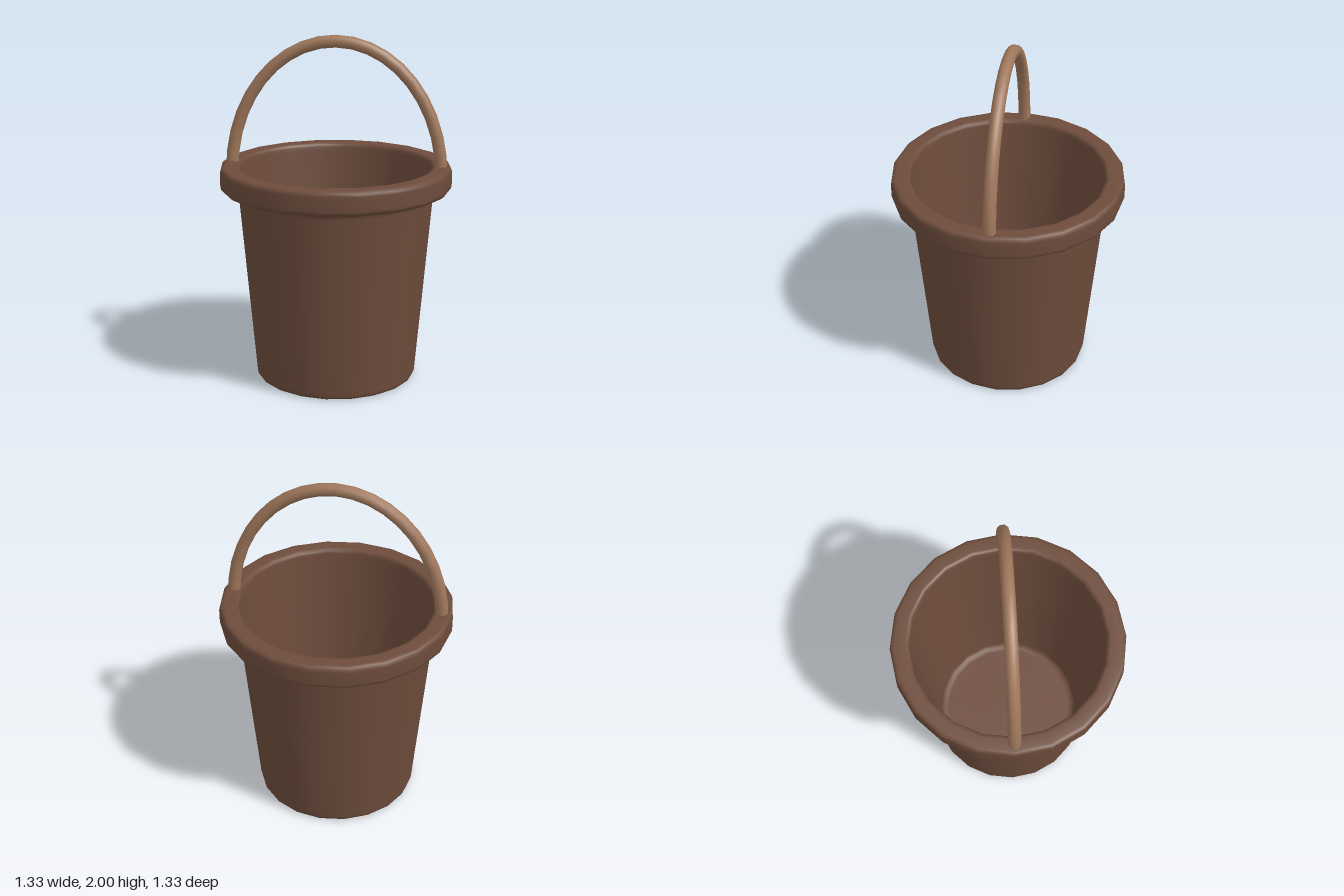
import * as THREE from 'three';

const SIDES = 20;

function lathe(name, profile, material) {
  const points = profile.map(([r, y]) => new THREE.Vector2(r, y));
  const mesh = new THREE.Mesh(new THREE.LatheGeometry(points, SIDES), material);
  mesh.name = name;
  return mesh;
}

// Half-ellipse arch, centred on the rim.
class ArchCurve extends THREE.Curve {
  constructor(width, height, base) {
    super();
    Object.assign(this, { width, height, base });
  }
  getPoint(t, target = new THREE.Vector3()) {
    const a = Math.PI * t;
    return target.set(-Math.cos(a) * this.width, this.base + Math.sin(a) * this.height, 0);
  }
  getPointAt(t, target) { return this.getPoint(t, target); }
  getTangentAt(t, target) { return this.getTangent(t, target); }
}

export function createModel() {
  const model = new THREE.Group();
  model.name = 'bucket';
  const darkBrown = new THREE.MeshStandardMaterial({ color: 0x6d4c3c });
  const lightBrown = new THREE.MeshStandardMaterial({ color: 0xa0785c });

  // Shell: underside, outer wall, overhanging rim, inner wall and floor in one profile.
  model.add(lathe('bucketShell', [
    [0, 0], [0.44, 0], [0.452, 0.001], [0.464, 0.008], [0.468, 0.022], [0.47, 0.04],
    [0.559, 1.08], [0.562, 1.1], [0.572, 1.112], [0.59, 1.118],
    [0.625, 1.12], [0.645, 1.126], [0.66, 1.138], [0.665, 1.155],
    [0.665, 1.235], [0.662, 1.25], [0.654, 1.26], [0.638, 1.265],
    [0.58, 1.265], [0.567, 1.262], [0.558, 1.254], [0.554, 1.24], [0.552, 1.22],
    [0.432, 0.1], [0.428, 0.082], [0.42, 0.069], [0.405, 0.062], [0.385, 0.06], [0, 0.06],
  ], darkBrown));

  // Handle, with its ends sunk into the rim.
  const arch = new ArchCurve(0.605, 0.765, 1.2);
  const handle = new THREE.Mesh(new THREE.TubeGeometry(arch, 20, 0.036, 10), lightBrown);
  handle.name = 'handle';
  model.add(handle);

  return model;
}
